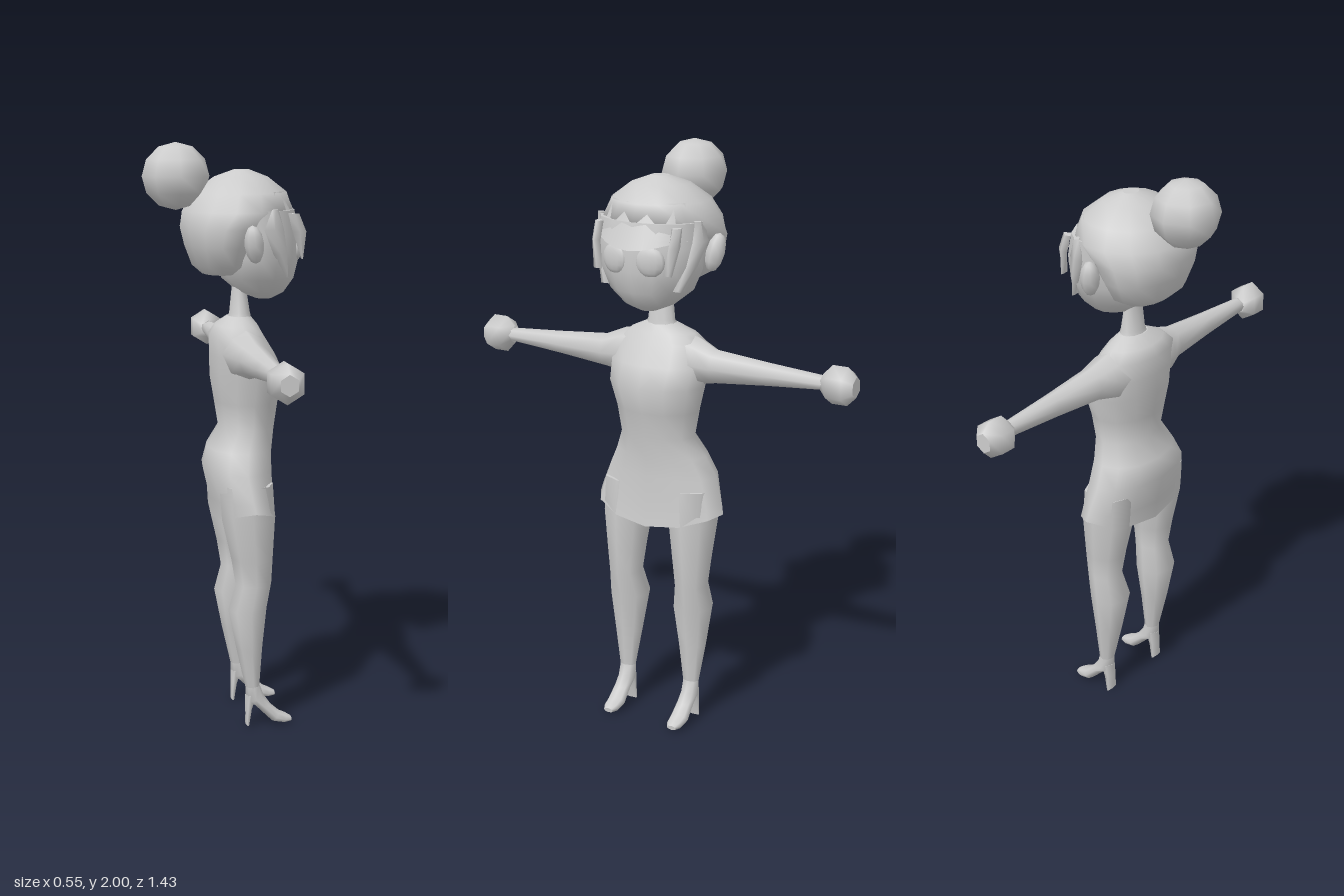
import * as THREE from 'three';

const material = new THREE.MeshStandardMaterial({ color: 0xcccccc, side: THREE.DoubleSide });

function mesh(name, geometry) {
  const m = new THREE.Mesh(geometry, material);
  m.name = name;
  return m;
}

// Skin closed rings of Vector3, turning faces outward by signed volume
function loft(rings, capStart = true, capEnd = true) {
  const n = rings[0].length, pos = [];
  let index = [];
  rings.forEach(r => r.forEach(p => pos.push(p.x, p.y, p.z)));
  for (let i = 0; i < rings.length - 1; i++) {
    for (let j = 0; j < n; j++) {
      const a = i * n + j, b = i * n + (j + 1) % n;
      index.push(a, b, b + n, a, b + n, a + n);
    }
  }
  const cap = (ring, flip) => {
    const base = pos.length / 3;
    const c = new THREE.Vector3();
    ring.forEach(p => { pos.push(p.x, p.y, p.z); c.addScaledVector(p, 1 / n); });
    pos.push(c.x, c.y, c.z);
    for (let j = 0; j < n; j++) {
      const a = base + j, b = base + (j + 1) % n;
      index.push(...(flip ? [base + n, b, a] : [base + n, a, b]));
    }
  };
  if (capStart) cap(rings[0], true);
  if (capEnd) cap(rings[rings.length - 1], false);
  const at = i => new THREE.Vector3().fromArray(pos, i * 3);
  const mid = rings[0][0];
  let volume = 0;
  for (let i = 0; i < index.length; i += 3) {
    const [a, b, c] = [0, 1, 2].map(k => at(index[i + k]).sub(mid));
    volume += a.dot(b.cross(c));
  }
  if (volume < 0) index = index.reverse();
  const g = new THREE.BufferGeometry();
  g.setAttribute('position', new THREE.Float32BufferAttribute(pos, 3));
  g.setIndex(index);
  g.computeVertexNormals();
  return g;
}

// Level ring: [height, back x, front x, half width], lifted at the sides by lift
function level([y, x0, x1, rz], n, zc = 0, lift = 0) {
  return Array.from({ length: n }, (_, j) => {
    const a = j / n * Math.PI * 2;
    return new THREE.Vector3((x0 + x1) / 2 + (x1 - x0) / 2 * Math.cos(a),
      y + lift * Math.sin(a) ** 2, zc + rz * Math.sin(a));
  });
}

// Upright ring across an arm: [z, centre y, half height, centre x, half depth]
function across([z, y, ry, x, rx], n, s) {
  return Array.from({ length: n }, (_, j) => {
    const a = j / n * Math.PI * 2;
    return new THREE.Vector3(x + rx * Math.sin(a), y + ry * Math.cos(a), s * z);
  });
}

function ball(name, r, position, scale, w = 8, h = 6) {
  const m = mesh(name, new THREE.SphereGeometry(r, w, h));
  m.position.set(...position);
  m.scale.set(...scale);
  return m;
}

export function createModel() {
  const model = new THREE.Group();
  model.name = 'figure';

  // Dress, with a hem that rises at the hips
  const dress = [
    [0.725, -0.045, 0.17, 0.245, 0.055], [0.79, -0.05, 0.163, 0.238, 0.02], [0.9, -0.075, 0.16, 0.208],
    [0.97, -0.06, 0.163, 0.17], [1.04, -0.02, 0.172, 0.135], [1.13, -0.035, 0.185, 0.15],
    [1.22, -0.05, 0.21, 0.172], [1.29, -0.05, 0.175, 0.18], [1.355, -0.05, 0.135, 0.165],
    [1.39, -0.03, 0.115, 0.12], [1.42, 0.01, 0.09, 0.055]
  ].map(r => level(r, 12, 0, r[4] || 0));
  model.add(mesh('dress', loft(dress, false, true)));

  const neck = [[1.39, 0.0, 0.1, 0.07], [1.43, 0.018, 0.09, 0.048], [1.54, 0.03, 0.072, 0.038]];
  model.add(mesh('neck', loft(neck.map(r => level(r, 10)))));

  // Head: face and hair shell
  const face = [[1.478, 0.11, 0.165, 0.03], [1.5, 0.05, 0.205, 0.085], [1.55, -0.01, 0.238, 0.145],
    [1.62, -0.02, 0.253, 0.178], [1.7, -0.02, 0.253, 0.192], [1.78, -0.02, 0.235, 0.19]];
  model.add(mesh('face', loft(face.map(r => level(r, 14)))));
  const hair = [[1.565, -0.075, 0.04, 0.1], [1.595, -0.11, 0.08, 0.155], [1.66, -0.135, 0.11, 0.188],
    [1.72, -0.15, 0.15, 0.203], [1.775, -0.143, 0.235, 0.203], [1.835, -0.105, 0.215, 0.168],
    [1.885, -0.035, 0.15, 0.1], [1.91, 0.035, 0.085, 0.03]];
  model.add(mesh('hair', loft(hair.map(r => level(r, 14)))));
  model.add(ball('hairBun', 0.114, [-0.163, 1.889, 0], [1, 0.98, 1], 8, 6));

  // Swept fringe flaring out over the forehead
  const fringe = new THREE.PlaneGeometry(1, 1, 8, 2);
  const fp = fringe.attributes.position;
  for (let i = 0; i < fp.count; i++) {
    const u = fp.getX(i) * 2, t = 0.5 - fp.getY(i);
    const a = -u * 1.0, flare = t * 0.065;
    fp.setXYZ(i, 0.06 + (0.145 + flare) * Math.cos(a), 1.84 - t * (0.13 + 0.015 * Math.cos(u * 3)),
      (0.165 + flare * 0.5) * Math.sin(a));
  }
  fringe.computeVertexNormals();
  model.add(mesh('fringe', fringe));

  for (const s of [1, -1]) {
    const side = s > 0 ? 'left' : 'right';
    const sided = (name, geometry) => model.add(mesh(side + name, geometry));

    // Pointed locks: thin diamond sections along [x, y, z, half width]
    const lock = (name, path) => sided(name, loft(path.map(([x, y, z, w]) => [
      new THREE.Vector3(x - w, y, s * (z + w * 0.3)), new THREE.Vector3(x, y, s * (z + 0.012)),
      new THREE.Vector3(x + w, y, s * (z - w * 0.3)), new THREE.Vector3(x, y, s * (z - 0.02))])));
    lock('SideLock', [[0.135, 1.785, 0.182, 0.012], [0.13, 1.72, 0.19, 0.035],
      [0.155, 1.64, 0.172, 0.025], [0.187, 1.56, 0.14, 0.003]]);
    lock('FringeTip', [[0.205, 1.77, 0.148, 0.02], [0.225, 1.71, 0.148, 0.025], [0.238, 1.62, 0.135, 0.003]]);

    const ear = ball(side + 'Ear', 0.065, [0.06, 1.675, s * 0.205], [0.5, 1, 0.5], 8, 6);
    ear.rotation.set(s * 0.2, 0, 0.15);
    const eye = ball(side + 'Eye', 0.05, [0.236, 1.66, s * 0.066], [0.38, 1, 1], 12, 8);
    eye.rotation.y = -s * 0.2;
    model.add(ear, eye);

    // Arm and faceted fist
    const arm = [[0.07, 1.305, 0.085, 0.045, 0.075], [0.14, 1.301, 0.081, 0.05, 0.072],
      [0.21, 1.295, 0.058, 0.062, 0.053], [0.4, 1.296, 0.04, 0.062, 0.039], [0.62, 1.297, 0.023, 0.062, 0.027]];
    sided('Arm', loft(arm.map(r => across(r, 8, s))));
    const fist = [[0.6, 0.03], [0.632, 0.064], [0.685, 0.064], [0.715, 0.034]];
    sided('Hand', loft(fist.map(([z, r]) => across([z, 1.295, r, 0.06, r * 0.94], 6, s))));

    // Leg, with knee and calf
    const leg = [[0.14, 0.05, 0.1, 0.03, 0.13], [0.28, 0.018, 0.11, 0.052, 0.13],
      [0.42, -0.01, 0.125, 0.073, 0.128], [0.51, 0.015, 0.14, 0.058, 0.132],
      [0.6, 0.0, 0.145, 0.069, 0.131], [0.74, -0.032, 0.153, 0.086, 0.129], [0.86, -0.04, 0.145, 0.088, 0.125]];
    sided('Leg', loft(leg.map(r => level(r, 8, s * r[4]))));

    // Arched shoe: sections of [back x, back y, front x, front y, half width]
    const shoe = [[0.05, 0.145, 0.1, 0.145, 0.03], [0.052, 0.085, 0.115, 0.105, 0.031],
      [0.085, 0.068, 0.14, 0.07, 0.031], [0.145, 0.008, 0.168, 0.045, 0.034],
      [0.185, 0.0, 0.195, 0.032, 0.03], [0.212, 0.004, 0.213, 0.02, 0.018]];
    sided('Shoe', loft(shoe.map(([x0, y0, x1, y1, w]) => Array.from({ length: 8 }, (_, j) => {
      const a = j / 8 * Math.PI * 2, t = 0.5 + 0.5 * Math.cos(a);
      return new THREE.Vector3(x0 + (x1 - x0) * t, y0 + (y1 - y0) * t, s * 0.13 + w * Math.sin(a));
    }))));
    const heel = [[0, 0.052, 0.062, 0.026], [0.06, 0.05, 0.075, 0.026], [0.11, 0.05, 0.095, 0.028]];
    sided('Heel', loft(heel.map(r => level(r, 6, s * 0.13))));
  }
  return model;
}
